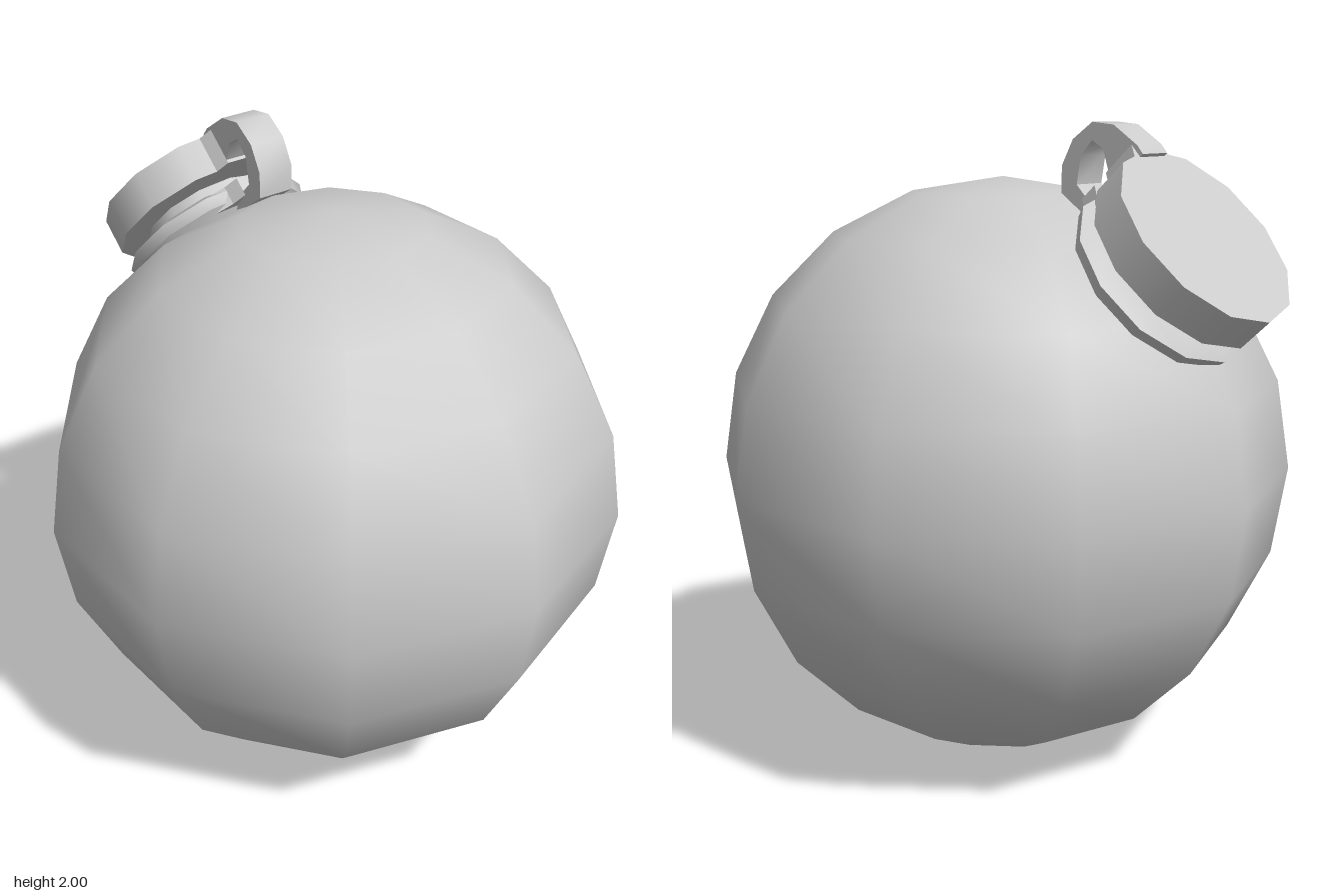
import * as THREE from 'three';
import { toCreasedNormals } from 'three/addons/utils/BufferGeometryUtils.js';

const material = new THREE.MeshStandardMaterial({ color: 0xcccccc });

function part(name, geometry, parent) {
  const mesh = new THREE.Mesh(geometry, material);
  mesh.name = name;
  parent.add(mesh);
  return mesh;
}

// Turns [radius, height] points (listed bottom to top) into a 12-sided ring
function turned(points) {
  const profile = points.map(([r, y]) => new THREE.Vector2(r, y));
  return toCreasedNormals(new THREE.LatheGeometry(profile, 12), 0.62);
}

export function createModel() {
  const model = new THREE.Group();
  model.name = 'roundFlask';

  // Ball-shaped body with a corner facing the front
  const body = part('body', new THREE.SphereGeometry(0.915, 10, 10, Math.PI / 2), model);
  body.position.set(0, 0.917, 0.02);

  // Spout assembly, leaning to the back; local y runs out of the mouth
  const spout = new THREE.Group();
  spout.name = 'spout';
  spout.position.set(0, 1.695, -0.733);
  spout.rotation.x = THREE.MathUtils.degToRad(-47.5);
  model.add(spout);

  // Flat stopper
  const cap = part('cap', new THREE.CylinderGeometry(0.31, 0.31, 0.12, 12), spout);
  cap.position.y = -0.06;

  // Neck and the bevelled collar around it
  part('neck', new THREE.CylinderGeometry(0.21, 0.21, 0.2, 12), spout).position.y = -0.215;
  part('collar', turned([
    [0.2, -0.3], [0.25, -0.255], [0.3, -0.222], [0.31, -0.187], [0.26, -0.165], [0.2, -0.165],
  ]), spout);

  // Bent strap joining the collar to the cap, drawn as [z, y]
  const outline = [
    [-0.55, 1.913], [-0.53, 1.937], [-0.446, 1.993], [-0.37, 2], [-0.3, 1.95],
    [-0.26, 1.873], [-0.26, 1.793], [-0.35, 1.73], [-0.41, 1.67], [-0.47, 1.725],
    [-0.41, 1.785], [-0.345, 1.79], [-0.316, 1.82], [-0.33, 1.905], [-0.37, 1.948],
    [-0.41, 1.925], [-0.436, 1.845], [-0.46, 1.82],
  ];
  const shape = new THREE.Shape(outline.map(([z, y]) => new THREE.Vector2(z, y)));
  const strapGeometry = new THREE.ExtrudeGeometry(shape, { depth: 0.12, bevelEnabled: false });
  strapGeometry.translate(0, 0, -0.06);
  const strap = part('strap', toCreasedNormals(strapGeometry, 0.9), model);
  strap.rotation.y = -Math.PI / 2;

  // Small fillets where the strap widens into the cap and the collar
  for (const [name, y, depth] of [['capFillet', -0.12, 0.12], ['collarFillet', -0.235, 0.06]]) {
    const flare = new THREE.Shape([
      new THREE.Vector2(-0.14, 0.24), new THREE.Vector2(0.14, 0.24),
      new THREE.Vector2(0.085, 0.285), new THREE.Vector2(0.06, 0.33),
      new THREE.Vector2(-0.06, 0.33), new THREE.Vector2(-0.085, 0.285),
    ]);
    const geometry = new THREE.ExtrudeGeometry(flare, { depth, bevelEnabled: false });
    geometry.rotateX(Math.PI / 2).translate(0, depth, 0);
    part(name, geometry, spout).position.y = y;
  }

  return model;
}
